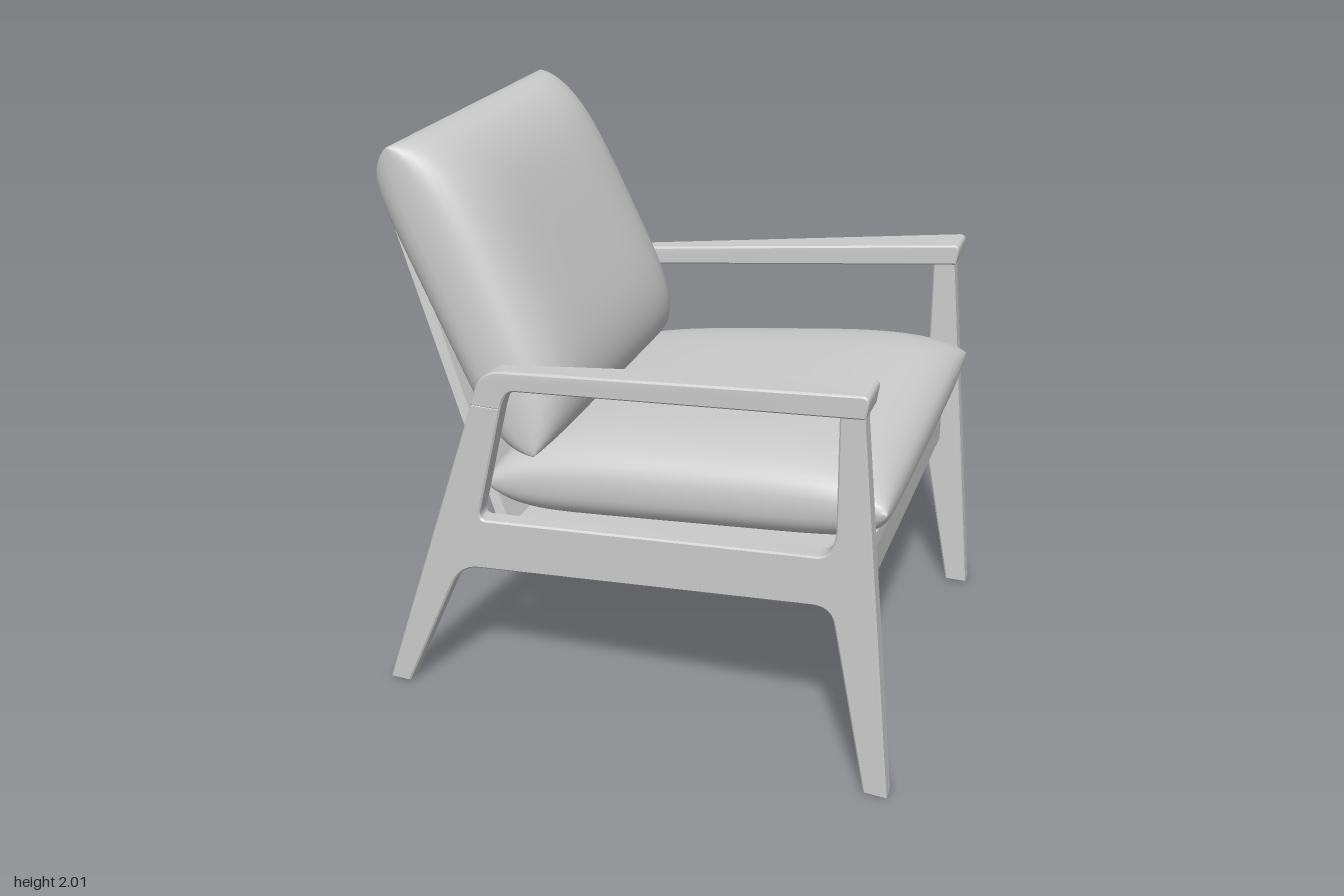
import * as THREE from 'three';
import { mergeVertices, toCreasedNormals } from 'three/addons/utils/BufferGeometryUtils.js';

const grey = new THREE.MeshStandardMaterial({ color: 0xcccccc });
grey.name = 'light grey';

const SLOPE = Math.atan(0.109); // seat tilt
const sideZ = (x) => 0.637 + (x + 0.93) * 0.05; // side frames toe outwards to the front

function addMesh(parent, name, geometry) {
  const mesh = new THREE.Mesh(geometry, grey);
  mesh.name = name;
  parent.add(mesh);
  return mesh;
}

// Extrudes a side profile, then places it along the splayed side line (side = 1 or -1).
function sidePart(shape, halfWidth, side) {
  const bevel = 0.006;
  const geo = new THREE.ExtrudeGeometry(shape, {
    depth: 2 - 2 * bevel, bevelEnabled: true, bevelThickness: bevel, bevelSize: bevel,
    bevelOffset: -bevel, bevelSegments: 1, curveSegments: 8,
  });
  geo.translate(0, 0, -1 + bevel);
  const p = geo.attributes.position;
  for (let i = 0; i < p.count; i++) {
    const x = p.getX(i), z = p.getZ(i), w = halfWidth(x);
    // keep the bevel the same size after narrowing
    const across = Math.abs(z) > 0.999 ? w : w - bevel;
    p.setZ(i, side * sideZ(x) + Math.sign(z) * across);
  }
  return toCreasedNormals(geo, 0.6);
}

// Both legs and the side rail in one piece.
function frameShape() {
  const s = new THREE.Shape();
  s.moveTo(-0.93, 0);
  s.lineTo(-0.85, 0);
  s.lineTo(-0.645, 0.45);
  s.quadraticCurveTo(-0.605, 0.54, -0.53, 0.55);
  s.lineTo(0.68, 0.68);
  s.quadraticCurveTo(0.745, 0.687, 0.757, 0.62);
  s.lineTo(0.88, 0);
  s.lineTo(0.96, 0);
  s.lineTo(0.82, 1.4);
  s.lineTo(0.745, 1.39);
  s.lineTo(0.75, 0.96);
  s.quadraticCurveTo(0.745, 0.866, 0.69, 0.86);
  s.lineTo(-0.49, 0.745);
  s.quadraticCurveTo(-0.518, 0.745, -0.51, 0.78);
  s.lineTo(-0.41, 1.18);
  s.lineTo(-0.52, 1.18);
  return s;
}

// Bent armrest that grows out of the back leg.
function armShape() {
  const s = new THREE.Shape();
  s.moveTo(-0.523, 1.174);
  s.lineTo(-0.411, 1.174);
  s.quadraticCurveTo(-0.395, 1.245, -0.35, 1.25);
  s.lineTo(0.835, 1.375);
  s.lineTo(0.843, 1.43);
  s.quadraticCurveTo(0.842, 1.452, 0.82, 1.45);
  s.lineTo(-0.4, 1.315);
  s.quadraticCurveTo(-0.475, 1.305, -0.5, 1.24);
  return s;
}

// Flat board along x whose half width runs from w0 (-x end) to w1 (+x end).
function taperedBoard(length, thickness, w0, w1) {
  const geo = new THREE.BoxGeometry(length, thickness, 2).toNonIndexed();
  const p = geo.attributes.position;
  for (let i = 0; i < p.count; i++) p.setZ(i, p.getZ(i) * (p.getX(i) < 0 ? w0 : w1));
  geo.computeVertexNormals();
  return geo;
}

// Pillow: two bulging sheets that meet in a seam.
// o: angle, centre along (s) and across (n) that direction, half length, half thickness, width(u)
function cushion(o) {
  const N = 36, pos = [], idx = [];
  const dx = Math.cos(o.angle), dy = Math.sin(o.angle);
  for (const face of [1, -1]) {
    const base = pos.length / 3;
    const power = face > 0 ? 4 : 8; // fuller at the underside
    for (let i = 0; i <= N; i++) for (let j = 0; j <= N; j++) {
      const u = Math.sin((i / N - 0.5) * Math.PI), v = Math.sin((j / N - 0.5) * Math.PI);
      const edgeU = Math.sqrt(Math.max(0, 1 - Math.abs(u) ** power));
      const edgeV = Math.max(0, 1 - v ** 6) ** 0.4;
      const s = o.s + u * o.halfLength;
      const n = o.n + face * o.halfThickness * edgeU * edgeV;
      pos.push(s * dx - n * dy, s * dy + n * dx, v * o.width(u));
    }
    for (let i = 0; i < N; i++) for (let j = 0; j < N; j++) {
      const a = base + i * (N + 1) + j, b = a + 1, c = a + N + 1, d = c + 1;
      if (face > 0) idx.push(a, b, c, b, d, c);
      else idx.push(a, c, b, b, c, d);
    }
  }
  let geo = new THREE.BufferGeometry();
  geo.setAttribute('position', new THREE.Float32BufferAttribute(pos, 3));
  geo.setIndex(idx);
  geo = mergeVertices(geo, 1e-5);
  geo.computeVertexNormals();
  return geo;
}

export function createModel() {
  const chair = new THREE.Group();
  chair.name = 'armchair';

  // side frames and armrests
  const frame = frameShape(), arm = armShape();
  const armWidth = (x) => 0.034 + 0.042 * Math.max(0, (x + 0.4) / 1.24);
  for (const side of [1, -1]) {
    const label = side > 0 ? 'left' : 'right';
    addMesh(chair, label + 'SideFrame', sidePart(frame, () => 0.033, side));
    addMesh(chair, label + 'Armrest', sidePart(arm, armWidth, side));
  }

  // seat board, tilted back
  const seat = addMesh(chair, 'seatBoard', taperedBoard(1.34, 0.042, 0.625, 0.69));
  seat.rotation.z = SLOPE;
  seat.position.set(0.16, 0.74, 0);

  // front rail under the seat board
  const rail = addMesh(chair, 'frontRail', new THREE.BoxGeometry(0.05, 0.155, 1.39));
  rail.position.set(0.79, 0.7125, 0);

  // back board, narrower at the top
  const back = addMesh(chair, 'backBoard', taperedBoard(1.106, 0.04, 0.62, 0.42));
  back.rotation.z = Math.atan2(1.01, -0.45);
  back.position.set(-0.675, 1.195, 0);

  // cushions
  addMesh(chair, 'seatCushion', cushion({
    angle: SLOPE, s: 0.29, n: 0.908, halfLength: 0.71, halfThickness: 0.165,
    width: (u) => 0.658 + 0.035 * u,
  }));
  addMesh(chair, 'backCushion', cushion({
    angle: Math.atan2(-0.9, 0.43), s: -1.593, n: 0.13, halfLength: 0.562, halfThickness: 0.2,
    width: (u) => 0.615 + 0.015 * u,
  }));

  return chair;
}
